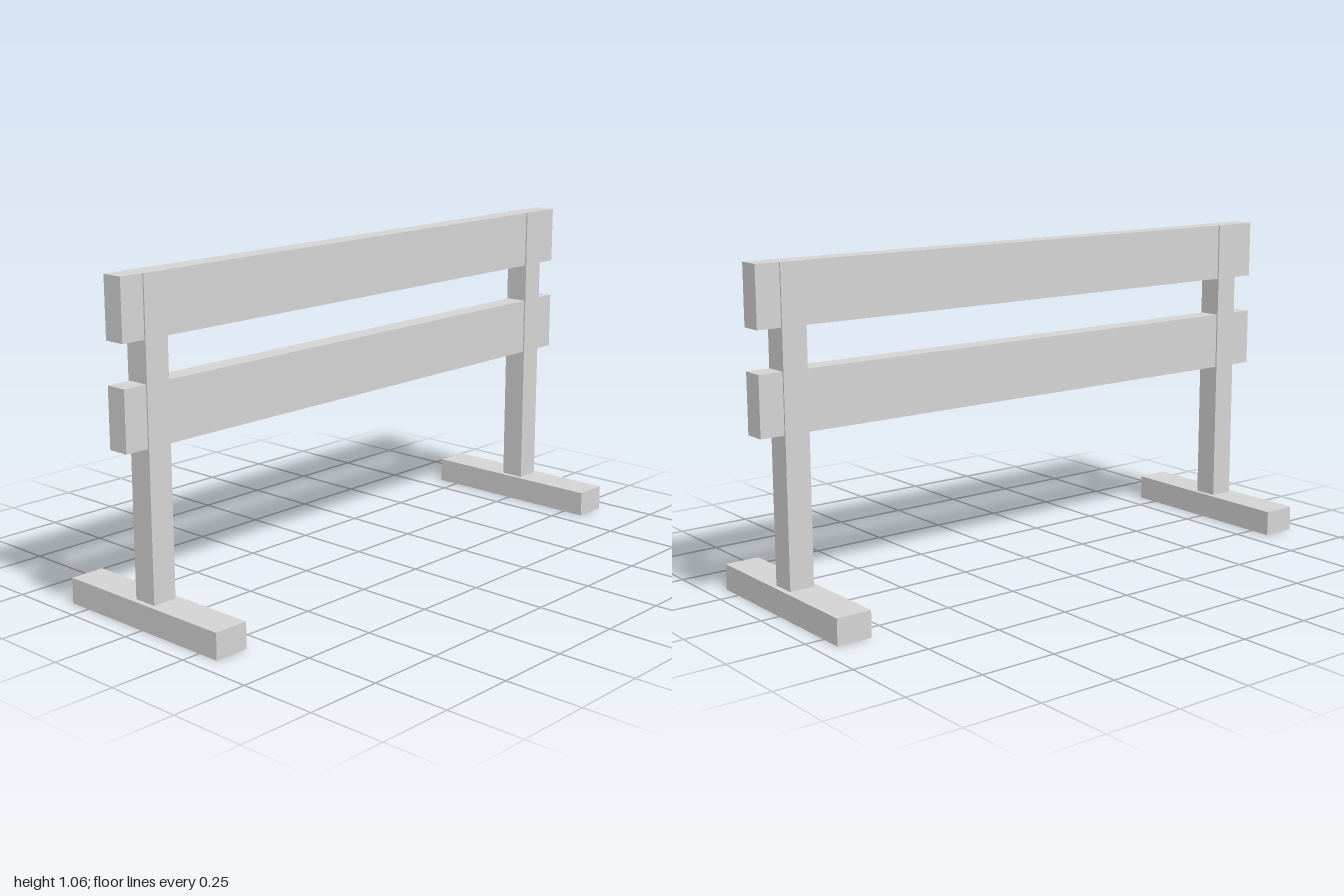
import * as THREE from 'three';

export function createModel() {
  const model = new THREE.Group();
  model.name = 'railStand';

  const grey = new THREE.MeshStandardMaterial({ color: 0xd3d3d3 });
  grey.name = 'light grey';

  // Box given by its size, its centre in x and its bottom height
  const addBox = (parent, name, [w, h, d], x, bottom) => {
    const mesh = new THREE.Mesh(new THREE.BoxGeometry(w, h, d), grey);
    mesh.name = name;
    mesh.position.set(x, bottom + h / 2, 0);
    parent.add(mesh);
  };

  const top = 1.059;
  const footHeight = 0.083;

  // Two upright supports, each a post on a long foot
  for (const side of [-1, 1]) {
    const support = new THREE.Group();
    support.name = side > 0 ? 'leftSupport' : 'rightSupport';
    support.position.x = side * 0.881;
    addBox(support, 'foot', [0.115, footHeight, 0.647], 0, 0);
    addBox(support, 'post', [0.081, top - footHeight, 0.081], 0, footHeight);
    model.add(support);
  }

  // Two long boards, set just inside the post faces
  const board = [2, 0.188, 0.071];
  addBox(model, 'upperBoard', board, 0, top - board[1]);
  addBox(model, 'lowerBoard', board, 0, 0.555);

  return model;
}
